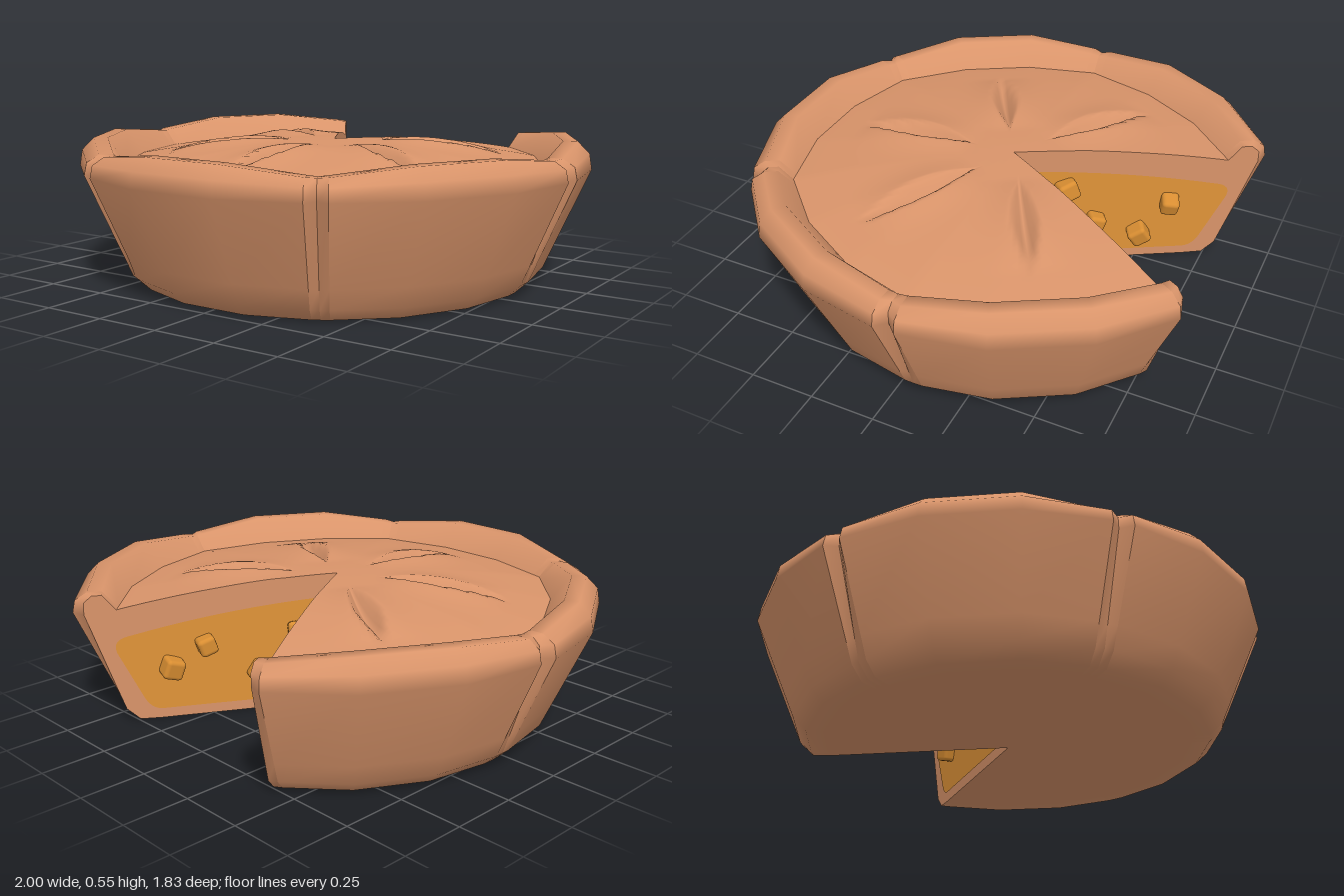
import * as THREE from 'three';
import { RoundedBoxGeometry } from 'three/addons/geometries/RoundedBoxGeometry.js';

const RAD = Math.PI / 180;
const START = -60, END = 240; // the pie spans 300 degrees, the missing slice is at the back
const SLITS = [-30, 30, 90, 150, 210];

const mat = (name, color) => {
  const m = new THREE.MeshStandardMaterial({ color, side: THREE.DoubleSide });
  m.name = name;
  return m;
};

// degrees to the nearest pinch in the rim (one every 60 degrees)
const pinchDistance = (a) => {
  const d = ((a % 60) + 60) % 60;
  return Math.min(d, 60 - d);
};

// inner edge of the rim, a straight-sided polygon
function innerRadius(a) {
  const d = pinchDistance(a);
  if (d >= 20) return 0.816 * Math.cos(10 * RAD) / Math.cos((30 - d) * RAD);
  const r0 = 0.842, r1 = 0.816;
  return r0 * r1 * Math.sin(20 * RAD) / (r0 * Math.sin(d * RAD) + r1 * Math.sin((20 - d) * RAD));
}

// domed lid with leaf-shaped slits between swollen lips
function lidHeight(r, a) {
  let y = 0.45 + 0.08 * (1 - (r / innerRadius(a)) ** 2);
  for (const s of SLITS) {
    const u = r * Math.cos((a - s) * RAD), v = Math.abs(r * Math.sin((a - s) * RAD));
    const t = (u - 0.18) / 0.475;
    if (t <= 0 || t >= 1) continue;
    const m = Math.sin(Math.PI * t), w = 0.05 * m;
    y += 0.025 * m * Math.exp(-((v / 0.11) ** 2));
    if (v < w) y -= 0.065 * m * (1 - v / w);
  }
  return y;
}

// crust section from the bottom centre, up the wall and over the rim
function crustSection(a) {
  const d = pinchDistance(a);
  const lift = 0.035 * Math.min(d / 20, 1);
  const n = d < 1 ? 0.04 : 0;
  return [
    [0, 0], [0.7, 0], [0.78, 0.003], [0.83, 0.05], [0.865 - 0.2 * n, 0.13], [1 - n, 0.44],
    [0.99 - 0.8 * n, 0.485 + 0.4 * lift], [0.945 - 0.4 * n, 0.51 + lift],
    [0.89, 0.51 + lift], [innerRadius(a), 0.45],
  ];
}

// sweep a section of [radius, height] points through a list of angles
function sweep(angles, section) {
  const pos = [], idx = [];
  let n = 0;
  angles.forEach((a, i) => {
    const pts = section(a);
    n = pts.length;
    pts.forEach(([r, y], j) => {
      pos.push(r * Math.cos(a * RAD), y, r * Math.sin(a * RAD));
      if (i && j) {
        const p = (i - 1) * n + j - 1, q = p + n;
        idx.push(p, p + 1, q, q, p + 1, q + 1);
      }
    });
  });
  const g = new THREE.BufferGeometry();
  g.setAttribute('position', new THREE.Float32BufferAttribute(pos, 3));
  g.setIndex(idx);
  g.computeVertexNormals();
  return g;
}

export function createModel() {
  const crustMat = mat('baked crust', 0xd9946a);
  const fillingMat = mat('orange filling', 0xe09438);
  const chunkMat = mat('fruit chunk', 0xd98e32);

  const model = new THREE.Group();
  const pie = new THREE.Group();
  pie.name = 'pie';
  pie.position.z = -0.07;
  model.add(pie);
  const add = (parent, name, geometry, material) => {
    const mesh = new THREE.Mesh(geometry, material);
    mesh.name = name;
    parent.add(mesh);
    return mesh;
  };

  // crust shell: five panels, each with a creased pinch at both ends
  for (let a = START; a < END; a += 60) {
    for (const part of [[0, 2.3], [2.3, 20, 40, 57.7], [57.7, 60]]) {
      add(pie, part.length > 2 ? 'crustPanel' : 'crustPinch', sweep(part.map((d) => a + d), crustSection), crustMat);
    }
  }

  // lid
  const lidAngles = Array.from({ length: 151 }, (_, i) => START + 2 * i);
  const rings = 32;
  add(pie, 'lid', sweep(lidAngles, (a) => Array.from({ length: rings + 1 }, (_, j) => {
    const r = innerRadius(a) * (1 - j / rings);
    return [r, lidHeight(r, a)];
  }), ), crustMat);

  // filling outline on a cut face
  const filling = new THREE.Shape();
  filling.moveTo(0, 0.04);
  filling.lineTo(0.69, 0.04);
  filling.quadraticCurveTo(0.735, 0.04, 0.76, 0.09);
  filling.lineTo(0.85, 0.28);
  filling.quadraticCurveTo(0.87, 0.335, 0.8, 0.345);
  filling.quadraticCurveTo(0.4, 0.43, 0, 0.44);

  // the two cut faces; side is the direction of the gap
  const cuts = [
    { angle: START, side: -1, chunks: [[0.65, 0.21], [0.518, 0.29], [0.316, 0.165], [0.166, 0.32]] },
    { angle: END, side: 1, chunks: [[0.21, 0.36], [0.326, 0.2], [0.505, 0.13], [0.62, 0.27]] },
  ];
  for (const { angle, side, chunks } of cuts) {
    const cut = new THREE.Group();
    cut.name = 'cutFace';
    cut.rotation.y = -angle * RAD;
    pie.add(cut);

    const outline = crustSection(angle).map(([r, y]) => new THREE.Vector2(r, y));
    for (let j = 1; j <= rings; j++) {
      const r = innerRadius(angle) * (1 - j / rings);
      outline.push(new THREE.Vector2(r, lidHeight(r, angle)));
    }
    add(cut, 'crustCut', new THREE.ShapeGeometry(new THREE.Shape(outline)), crustMat);
    add(cut, 'filling', new THREE.ShapeGeometry(filling), fillingMat).position.z = side * 0.004;

    chunks.forEach(([r, y], i) => {
      const size = i % 2 ? 0.07 : 0.078;
      const chunk = add(cut, 'fruitChunk', new RoundedBoxGeometry(size, size, 0.075, 2, 0.016), chunkMat);
      chunk.position.set(r, y, side * 0.022);
      chunk.rotation.set(0.15 * (i - 1), 0.12 * (2 - i), 0.35 + 0.9 * i);
    });
  }
  return model;
}
